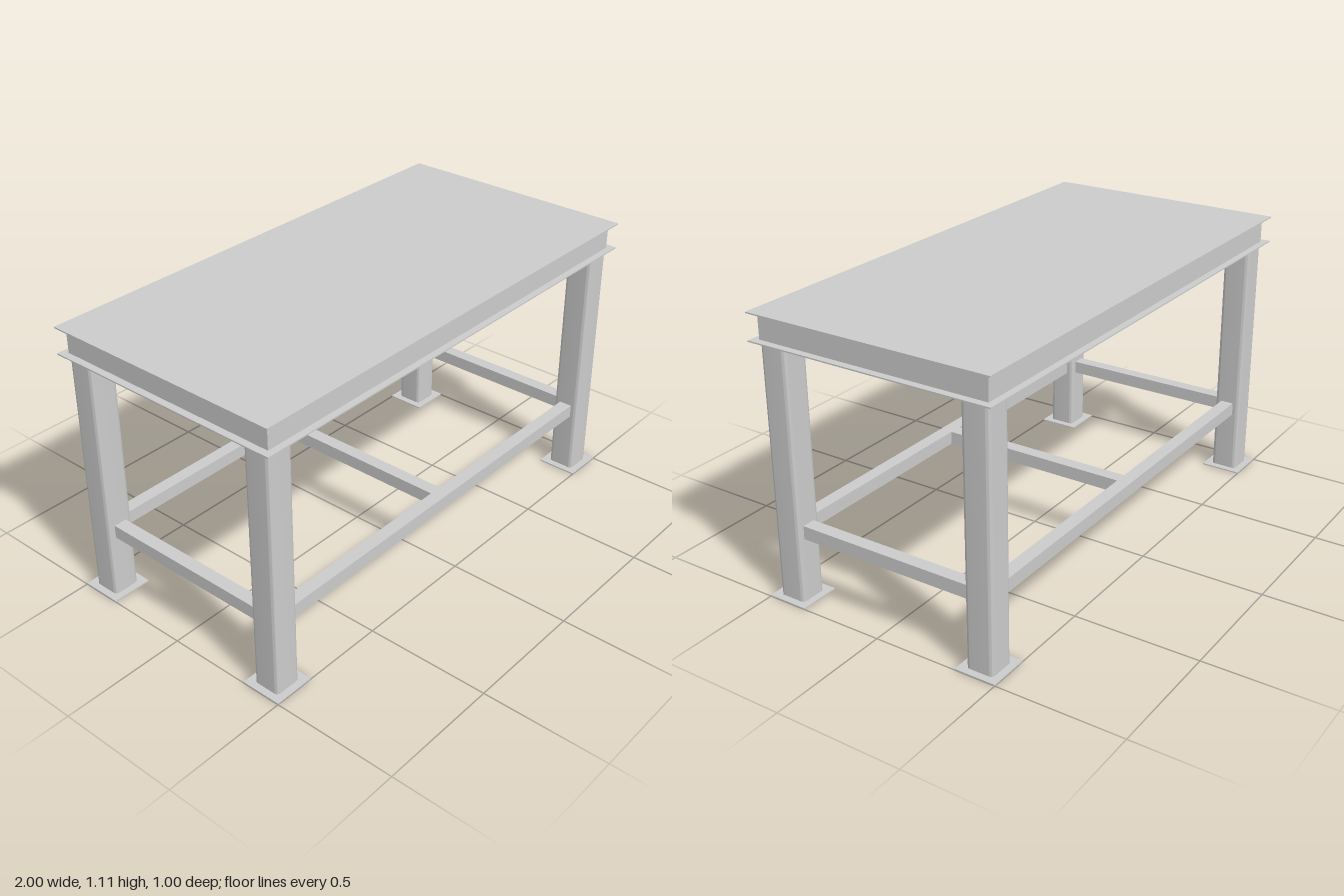
import * as THREE from 'three';
import { toCreasedNormals } from 'three/addons/utils/BufferGeometryUtils.js';

const LEG_X = 0.918, LEG_Z = 0.418, LEG = 0.109, WALL = 0.006;
const PLATE = 0.005, FOOT = 0.165;
const TOP = 1.11, SHELF = 1.002;     // upper face of the top, lower face of the under plate
const RAIL = 0.053, RAIL_Y = 0.2825;

const material = new THREE.MeshStandardMaterial({ color: 0xcccccc });

function box(name, w, h, d, x, y, z) {
  const mesh = new THREE.Mesh(new THREE.BoxGeometry(w, h, d), material);
  mesh.name = name;
  mesh.position.set(x, y, z);
  return mesh;
}

// Traces a centred square with rounded corners into a Shape or Path
function roundedSquare(path, size, r) {
  const h = size / 2, c = h - r;
  path.moveTo(-c, -h);
  path.lineTo(c, -h);
  path.absarc(c, -c, r, -Math.PI / 2, 0);
  path.absarc(c, c, r, 0, Math.PI / 2);
  path.absarc(-c, c, r, Math.PI / 2, Math.PI);
  path.absarc(-c, -c, r, Math.PI, Math.PI * 1.5);
  return path;
}

// Extrudes an outline with a rounded square hole upwards from y0
function hollow(name, outline, y0, height) {
  outline.holes.push(roundedSquare(new THREE.Path(), LEG - 2 * WALL, 0.009));
  const geometry = new THREE.ExtrudeGeometry(outline, { depth: height, bevelEnabled: false, curveSegments: 6 });
  geometry.rotateX(-Math.PI / 2);
  const mesh = new THREE.Mesh(toCreasedNormals(geometry, 0.6), material);
  mesh.name = name;
  mesh.position.y = y0;
  return mesh;
}

function squareShape(size) {
  const h = size / 2;
  return new THREE.Shape([[-h, -h], [h, -h], [h, h], [-h, h]].map(([x, y]) => new THREE.Vector2(x, y)));
}

// Square tube leg standing on an open foot plate
function makeLeg(name, x, z) {
  const leg = new THREE.Group();
  leg.name = name;
  leg.add(
    hollow('footPlate', squareShape(FOOT), 0, PLATE),
    hollow('legTube', roundedSquare(new THREE.Shape(), LEG, 0.015), PLATE, SHELF - PLATE)
  );
  leg.position.set(x, 0, z);
  return leg;
}

export function createModel() {
  const table = new THREE.Group();
  table.name = 'workTable';

  // Thin plates above and below the top frame
  table.add(
    box('tableTop', 2, PLATE, 1, 0, TOP - PLATE / 2, 0),
    box('underPlate', 2, PLATE, 1, 0, SHELF + PLATE / 2, 0)
  );

  // Frame beams between the plates
  const frameH = TOP - SHELF - 2 * PLATE, frameY = (TOP + SHELF) / 2;
  const frameX = 0.972, frameZ = 0.473, beam = 0.05;
  for (const s of [-1, 1]) {
    const side = s > 0 ? 'left' : 'right', end = s > 0 ? 'front' : 'back';
    table.add(
      box(end + 'FrameBeam', frameX * 2, frameH, beam, 0, frameY, s * (frameZ - beam / 2)),
      box(side + 'FrameBeam', beam, frameH, (frameZ - beam) * 2, s * (frameX - beam / 2), frameY, 0)
    );

    // Stretchers running from leg to leg
    table.add(
      box(end + 'Stretcher', LEG_X * 2 - LEG, RAIL, RAIL, 0, RAIL_Y, s * LEG_Z),
      box(side + 'Stretcher', RAIL, RAIL, LEG_Z * 2 - LEG, s * LEG_X, RAIL_Y, 0)
    );

    for (const t of [-1, 1]) {
      const name = (t > 0 ? 'front' : 'back') + (s > 0 ? 'Left' : 'Right') + 'Leg';
      table.add(makeLeg(name, s * LEG_X, t * LEG_Z));
    }
  }

  // Cross bar joining the two long stretchers
  table.add(box('middleStretcher', RAIL, RAIL, LEG_Z * 2 - RAIL, 0, RAIL_Y, 0));

  return table;
}
